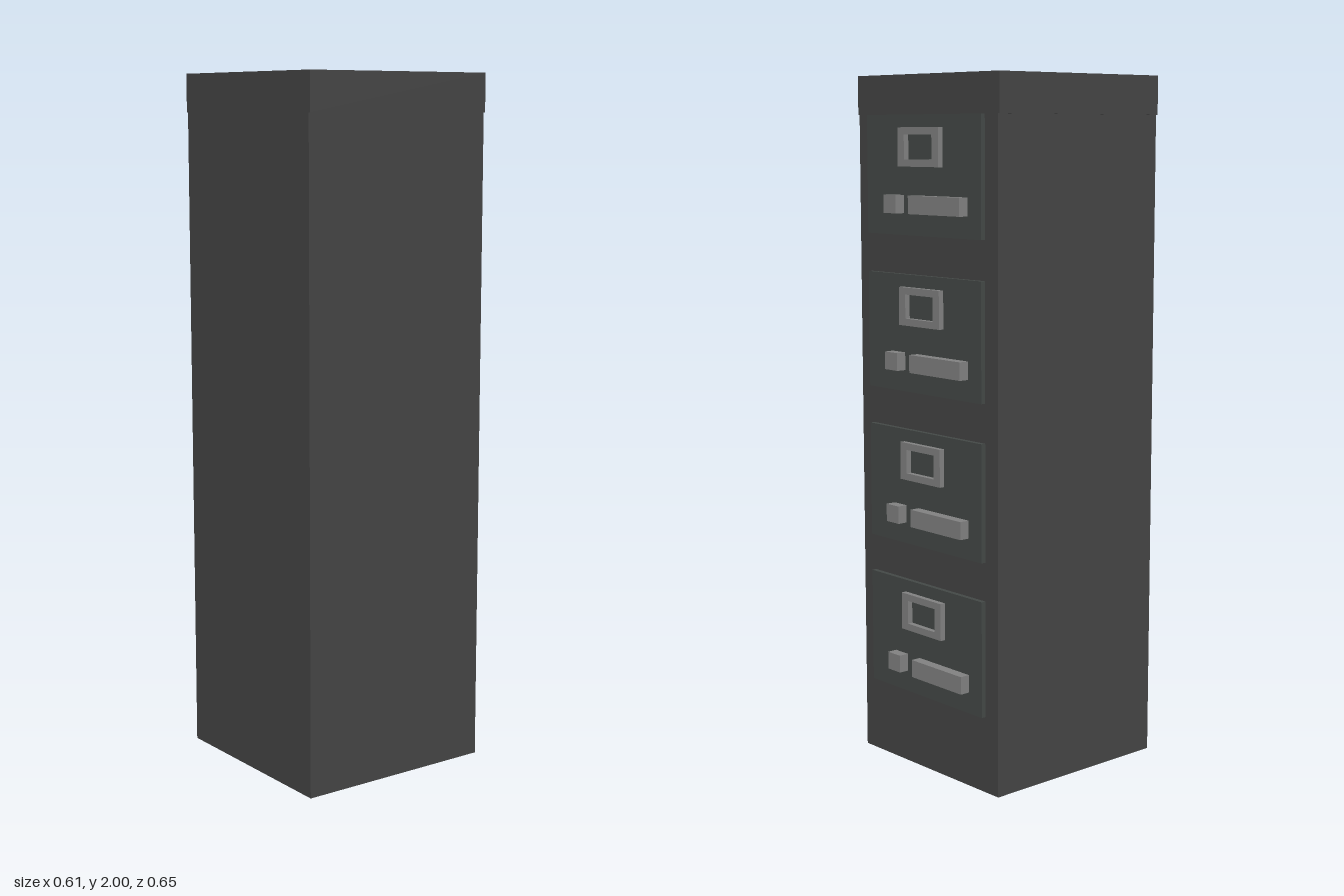
import * as THREE from 'three';

const mat = (color) => new THREE.MeshStandardMaterial({ color });

export function createModel() {
  const cabinet = new THREE.Group();
  cabinet.name = 'filingCabinet';
  const bodyMat = mat(0x444444), drawerMat = mat(0x434846), metalMat = mat(0x808080);

  // Box given by its min and max corners
  const box = (parent, name, material, [x0, y0, z0], [x1, y1, z1]) => {
    const mesh = new THREE.Mesh(new THREE.BoxGeometry(x1 - x0, y1 - y0, z1 - z0), material);
    mesh.position.set((x0 + x1) / 2, (y0 + y1) / 2, (z0 + z1) / 2);
    mesh.name = name;
    parent.add(mesh);
  };

  // Carcass and the slightly wider top cap
  const back = 0.323, face = -0.281;
  box(cabinet, 'body', bodyMat, [-0.3, 0, face], [0.3, 1.89, back]);
  box(cabinet, 'topCap', bodyMat, [-0.306, 1.89, face], [0.306, 2, back]);

  // Label holder: rectangular frame with a window
  const rect = (path, w, h) => path.moveTo(-w, -h).lineTo(w, -h).lineTo(w, h).lineTo(-w, h).closePath();
  const outline = rect(new THREE.Shape(), 0.088, 0.054);
  outline.holes.push(rect(new THREE.Path(), 0.06, 0.034));
  const frameGeo = new THREE.ExtrudeGeometry(outline, { depth: 0.016, bevelEnabled: false });

  // Four identical drawers, each placed by the centre of its front
  const front = -0.295;
  for (let i = 0; i < 4; i++) {
    const drawer = new THREE.Group();
    drawer.name = 'drawer' + (i + 1);
    drawer.position.y = 0.389 + i * 0.4445;
    box(drawer, 'drawerFront', drawerMat, [-0.247, -0.167, front], [0.247, 0.167, face]);
    box(drawer, 'handle', metalMat, [-0.192, -0.106, -0.325], [0.027, -0.055, front]);
    box(drawer, 'latch', metalMat, [0.082, -0.106, -0.325], [0.137, -0.055, front]);
    const frame = new THREE.Mesh(frameGeo, metalMat);
    frame.name = 'labelFrame';
    frame.position.set(0, 0.078, front - 0.016);
    drawer.add(frame);
    cabinet.add(drawer);
  }
  return cabinet;
}
